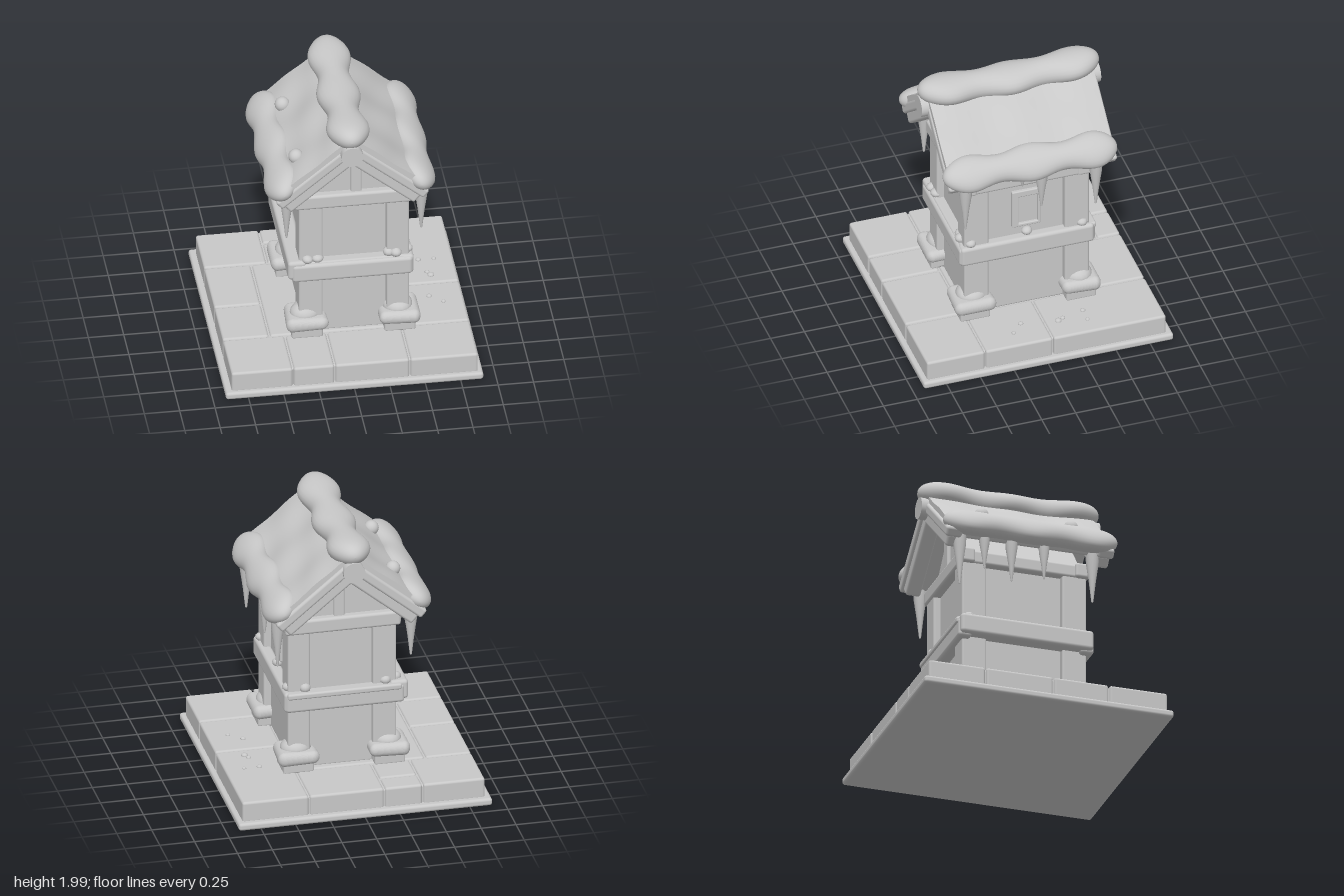
import * as THREE from 'three';
import { RoundedBoxGeometry } from 'three/addons/geometries/RoundedBoxGeometry.js';

const stone = new THREE.MeshStandardMaterial({ color: 0xc8c8c8 });
stone.name = 'pale grey';

function add(parent, name, geo, x = 0, y = 0, z = 0) {
  const m = new THREE.Mesh(geo, stone);
  m.name = name;
  m.position.set(x, y, z);
  parent.add(m);
  return m;
}

// Soft-edged block given by its extents
function block(parent, name, [x0, x1], [y0, y1], [z0, z1], r = 0.015) {
  const geo = new RoundedBoxGeometry(x1 - x0, y1 - y0, z1 - z0, 3, r);
  return add(parent, name, geo, (x0 + x1) / 2, (y0 + y1) / 2, (z0 + z1) / 2);
}

// Gentle irregularity for snow shapes
function wobble(geo, amount, seed) {
  const p = geo.attributes.position;
  for (let i = 0; i < p.count; i++) {
    const x = p.getX(i), y = p.getY(i), z = p.getZ(i);
    const k = 1 + amount * Math.sin(x * 23 + seed) * Math.cos(z * 19 + seed * 2);
    p.setXYZ(i, x * k, y * (1 + amount * Math.sin(x * 17 + z * 21 + seed)), z * k);
  }
  geo.computeVertexNormals();
  return geo;
}

// Snow roll along z, swelling and narrowing in scallops, with rounded ends
function snowRoll(rx, ry, z0, z1, lift) {
  const rings = 48, sides = 24, pos = [], idx = [];
  for (let i = 0; i <= rings; i++) {
    const t = -Math.cos((Math.PI * i) / rings);
    const z = (z0 + z1) / 2 + (t * (z1 - z0)) / 2;
    const end = Math.pow(Math.max(0, 1 - Math.pow(Math.abs(t), 9)), 0.5);
    const swell = 0.86 + 0.14 * Math.cos(z * 13.4);
    for (let j = 0; j < sides; j++) {
      const a = (j / sides) * Math.PI * 2;
      pos.push(rx * swell * end * Math.cos(a),
        ry * (0.94 + 0.06 * swell) * end * Math.sin(a) + lift * t * t, z);
      if (i < rings) {
        const b = i * sides, n = (j + 1) % sides;
        idx.push(b + j, b + n, b + sides + j, b + n, b + sides + n, b + sides + j);
      }
    }
  }
  const geo = new THREE.BufferGeometry();
  geo.setAttribute('position', new THREE.Float32BufferAttribute(pos, 3));
  geo.setIndex(idx);
  geo.computeVertexNormals();
  return geo;
}

function createBase(g) {
  block(g, 'baseSlab', [-0.91, 0.91], [0, 0.055], [-0.92, 0.92], 0.02);
  block(g, 'baseCore', [-0.85, 0.85], [0.04, 0.185], [-0.86, 0.86]);
  // Paving stones: x0, x1, z0, z1
  const stones = [
    [-0.87, -0.42, -0.88, -0.455], [-0.42, -0.145, -0.88, -0.705], [-0.42, -0.145, -0.705, -0.455],
    [-0.145, 0.395, -0.88, -0.455], [0.395, 0.88, -0.88, -0.045],
    [-0.87, -0.535, -0.455, 0.045], [-0.87, -0.535, 0.045, 0.455], [-0.535, 0.395, -0.455, 0.455],
    [0.395, 0.88, -0.045, 0.455],
    [-0.87, -0.43, 0.455, 0.89], [-0.43, -0.135, 0.455, 0.89], [-0.135, 0.395, 0.455, 0.89],
    [0.395, 0.88, 0.455, 0.89],
  ];
  for (const [x0, x1, z0, z1] of stones)
    block(g, 'pavingStone', [x0 + 0.005, x1 - 0.005], [0.04, 0.198], [z0 + 0.005, z1 - 0.005], 0.018);
  // Loose crumbs on the paving
  for (const [x, z, r] of [[0.63, -0.34, 0.02], [0.69, -0.14, 0.025], [0.74, -0.34, 0.016],
    [0.64, 0.12, 0.02], [0.73, 0.2, 0.016], [0.67, -0.18, 0.018]])
    add(g, 'pebble', new THREE.IcosahedronGeometry(r, 1), x, 0.2, z).scale.y = 0.7;
}

function createHouse(g) {
  block(g, 'wall', [-0.28, 0.4], [0.19, 1.33], [-0.4, 0.42]);
  [[-0.33, -0.16], [0.29, 0.45]].forEach((xs, i) => [[-0.45, -0.27], [0.29, 0.47]].forEach((zs, j) => {
    block(g, 'cornerPost', xs, [0.2, 1.3], zs);
    // Footing with its cap of snow
    const cx = (xs[0] + xs[1]) / 2 + (i ? 0.01 : -0.03), cz = (zs[0] + zs[1]) / 2 + (j ? 0.02 : -0.02);
    block(g, 'footing', [cx - 0.11, cx + 0.11], [0.19, 0.3], [cz - 0.11, cz + 0.11]);
    const seed = i * 2 + j;
    add(g, 'footingSnow', wobble(new RoundedBoxGeometry(0.29, 0.1, 0.29, 6, 0.048), 0.06, seed), cx, 0.305, cz);
    add(g, 'footingSnowMound', wobble(new THREE.SphereGeometry(0.1, 18, 12), 0.08, seed), cx, 0.35, cz)
      .scale.set(1.08, 0.75, 1.08);
  }));

  // Middle rails
  for (const zs of [[0.41, 0.51], [-0.49, -0.39]]) {
    block(g, 'middleRail', [-0.38, 0.47], [0.66, 0.8], zs, 0.025);
    block(g, 'middleRailLip', [-0.36, 0.46], [0.765, 0.81], [zs[0] - 0.01, zs[1] - 0.02], 0.015);
  }
  block(g, 'sideRail', [0.39, 0.48], [0.66, 0.81], [-0.48, 0.5], 0.025);
  block(g, 'sideRail', [-0.41, -0.28], [0.68, 0.825], [-0.48, 0.5], 0.025);

  // Top beams
  for (const zs of [[0.38, 0.485], [-0.465, -0.36]])
    block(g, 'topBeam', [-0.36, 0.47], [1.25, 1.36], zs, 0.02);
  for (const xs of [[-0.34, -0.25], [0.38, 0.46]])
    block(g, 'sideTopBeam', xs, [1.25, 1.35], [-0.44, 0.46], 0.02);

  // Little window on one side
  block(g, 'windowPane', [0.39, 0.404], [0.89, 1.17], [-0.085, 0.105], 0.004);
  for (const zs of [[0.06, 0.11], [-0.1, -0.08]])
    block(g, 'windowJamb', [0.39, 0.425], [0.88, 1.18], zs, 0.008);
  block(g, 'windowHead', [0.39, 0.425], [1.13, 1.18], [-0.1, 0.11], 0.008);
  block(g, 'windowSill', [0.39, 0.425], [0.875, 0.9], [-0.1, 0.11], 0.008);

  // Snow crumbs on the rails beside the posts
  for (const [x, z] of [[-0.27, 0.47], [-0.2, 0.46], [0.31, 0.45], [0.36, 0.47], [0.44, 0.42],
    [0.44, -0.4], [0.42, 0], [-0.25, -0.44], [0.33, -0.44], [-0.33, -0.4]])
    add(g, 'railSnow', wobble(new THREE.SphereGeometry(0.04, 12, 8), 0.15, x * 9), x, 0.83, z).scale.y = 0.85;
}

function createRoof(g) {
  const cx = 0.03, top = 1.92, slope = 0.69;
  // Gable infill and studs
  const tri = new THREE.Shape([[-0.33, 1.3], [0.41, 1.3], [cx, 1.74]].map(p => new THREE.Vector2(...p)));
  add(g, 'gable', new THREE.ExtrudeGeometry(tri, { depth: 0.84, bevelEnabled: false }), 0, 0, -0.41);
  for (const zs of [[0.4, 0.455], [-0.435, -0.38]])
    block(g, 'gableStud', [0.04, 0.115], [1.34, 1.68], zs, 0.01);

  for (const s of [-1, 1]) {
    const side = new THREE.Group();
    side.name = s < 0 ? 'rightRoofSide' : 'leftRoofSide';
    side.position.set(cx, top, 0);
    side.rotation.z = -s * slope;
    g.add(side);
    const span = (a, b) => (s > 0 ? [a, b] : [-b, -a]);
    block(side, 'roofDeck', span(0.08, 0.7), [-0.12, -0.05], [-0.57, 0.58]);
    for (const e of [-1, 1]) {
      const zs = (a, b) => (e > 0 ? [a, b] : [-b, -a]);
      block(side, 'rafter', span(0.1, 0.72), [-0.19, -0.1], zs(0.49, 0.6), 0.02);
      block(side, 'bargeBoard', span(0.06, 0.74), [-0.115, -0.04], zs(0.5, 0.62), 0.02);
    }
    // Rippled snow sheet
    const sheet = new THREE.BoxGeometry(0.68, 0.07, 1.21, 14, 2, 28);
    const p = sheet.attributes.position;
    for (let i = 0; i < p.count; i++)
      if (p.getY(i) > 0.03)
        p.setY(i, p.getY(i) + 0.007 * Math.cos(p.getZ(i) * 13.4) + 0.004 * Math.sin(p.getX(i) * 18 + p.getZ(i) * 7));
    sheet.computeVertexNormals();
    add(side, 'roofSnow', sheet, s * 0.37, -0.038, 0.005);
    add(side, 'eaveSnow', snowRoll(0.14, 0.085, -0.63, 0.65, 0), s * 0.645, -0.02, 0);
  }

  // Ridge pole and its snow
  const pole = add(g, 'ridgePole', new THREE.CylinderGeometry(0.078, 0.078, 1.32, 20), 0.02, 1.785, 0.005);
  pole.rotation.x = Math.PI / 2;
  add(g, 'ridgeSnow', snowRoll(0.155, 0.1, -0.66, 0.67, 0.035), 0.017, 1.872, 0);

  // Snowballs resting on one slope
  for (const z of [-0.31, 0.35])
    add(g, 'snowball', new THREE.SphereGeometry(0.053, 20, 14), -0.335, 1.625, z);

  // Icicles: x, z, tip height, root radius
  for (const [x, z, tip, r] of [[0.53, 0.49, 1.03, 0.05], [0.53, -0.07, 1.1, 0.047], [0.53, -0.47, 1.03, 0.05],
    [0.5, 0.06, 1.28, 0.035], [-0.42, 0.48, 1.03, 0.05], [-0.43, 0.12, 1.15, 0.04],
    [-0.43, -0.12, 1.1, 0.045], [-0.43, -0.32, 1.17, 0.04], [-0.42, -0.5, 1.03, 0.05]]) {
    const h = 1.43 - tip;
    const profile = [[0, 0], [r * 0.15, 0.008], [r * 0.5, h * 0.4], [r * 0.9, h * 0.75], [r, h]]
      .map(q => new THREE.Vector2(...q));
    add(g, 'icicle', new THREE.LatheGeometry(profile, 14), x, tip, z);
  }
}

export function createModel() {
  const model = new THREE.Group();
  model.name = 'snowyShrine';
  for (const [name, build] of [['base', createBase], ['house', createHouse], ['roof', createRoof]]) {
    const part = new THREE.Group();
    part.name = name;
    build(part);
    model.add(part);
  }
  return model;
}
